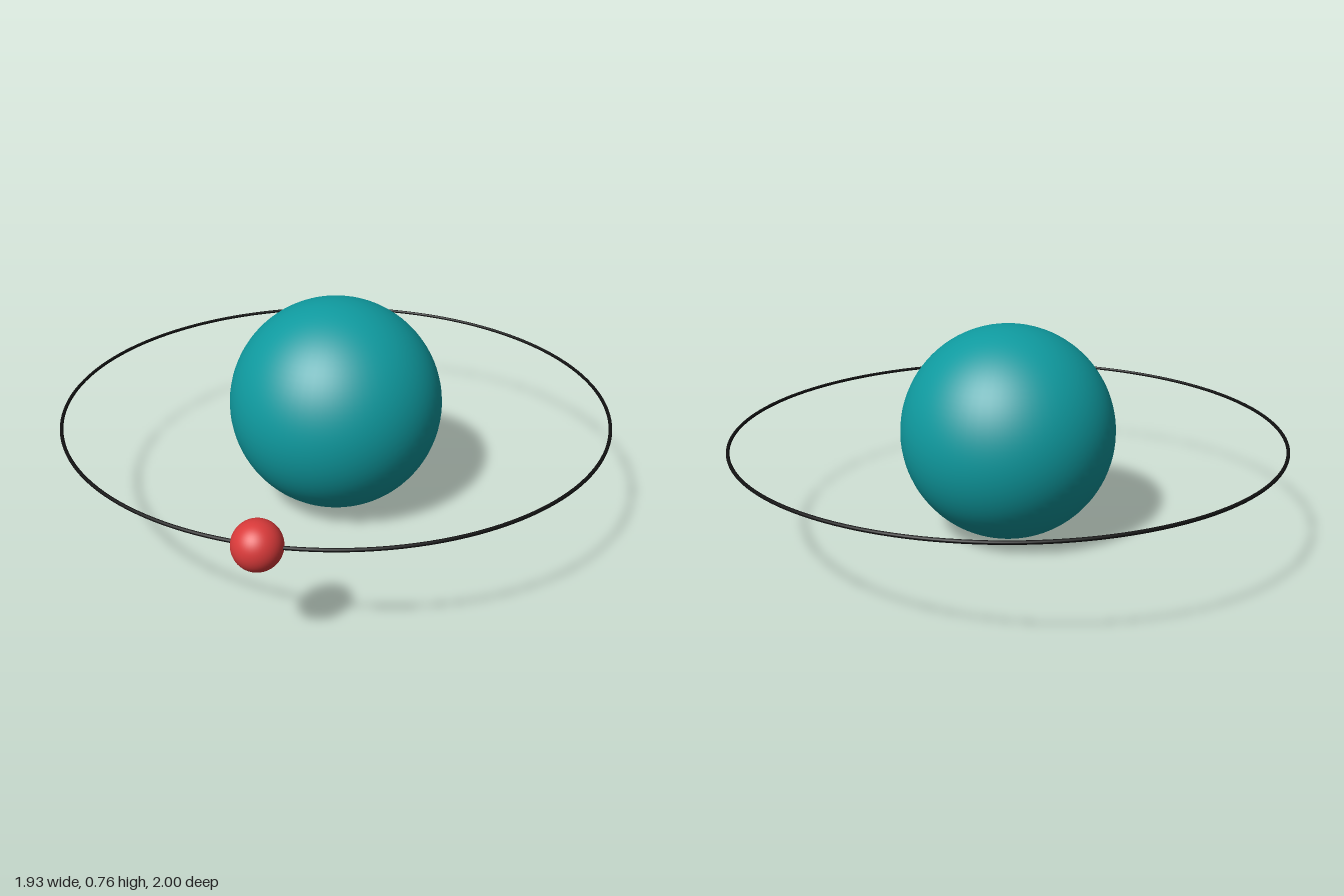
import * as THREE from 'three';

const PLANET_RADIUS = 0.379;
const ORBIT_RADIUS = 0.959;
const ORBIT_THICKNESS = 0.006;
const MOON_RADIUS = 0.076;

function addPart(group, name, geometry, color) {
  const mesh = new THREE.Mesh(geometry, new THREE.MeshStandardMaterial({ color }));
  mesh.name = name;
  group.add(mesh);
  return mesh;
}

export function createModel() {
  const model = new THREE.Group();
  model.name = 'planetWithMoon';

  // Everything shares the planet's centre, set back to balance the moon
  const system = new THREE.Group();
  system.name = 'orbitSystem';
  system.position.set(0, PLANET_RADIUS, -0.036);
  model.add(system);

  // Large central sphere
  addPart(system, 'planet', new THREE.SphereGeometry(PLANET_RADIUS, 64, 48), 0x0f9a9f);

  // Thin horizontal ring
  const orbit = addPart(system, 'orbitRing',
    new THREE.TorusGeometry(ORBIT_RADIUS, ORBIT_THICKNESS, 12, 160), 0x111111);
  orbit.rotation.x = Math.PI / 2;

  // Small sphere riding on the ring at the front
  const moon = addPart(system, 'moon', new THREE.SphereGeometry(MOON_RADIUS, 48, 32), 0xd93a3a);
  moon.position.z = ORBIT_RADIUS;

  return model;
}
